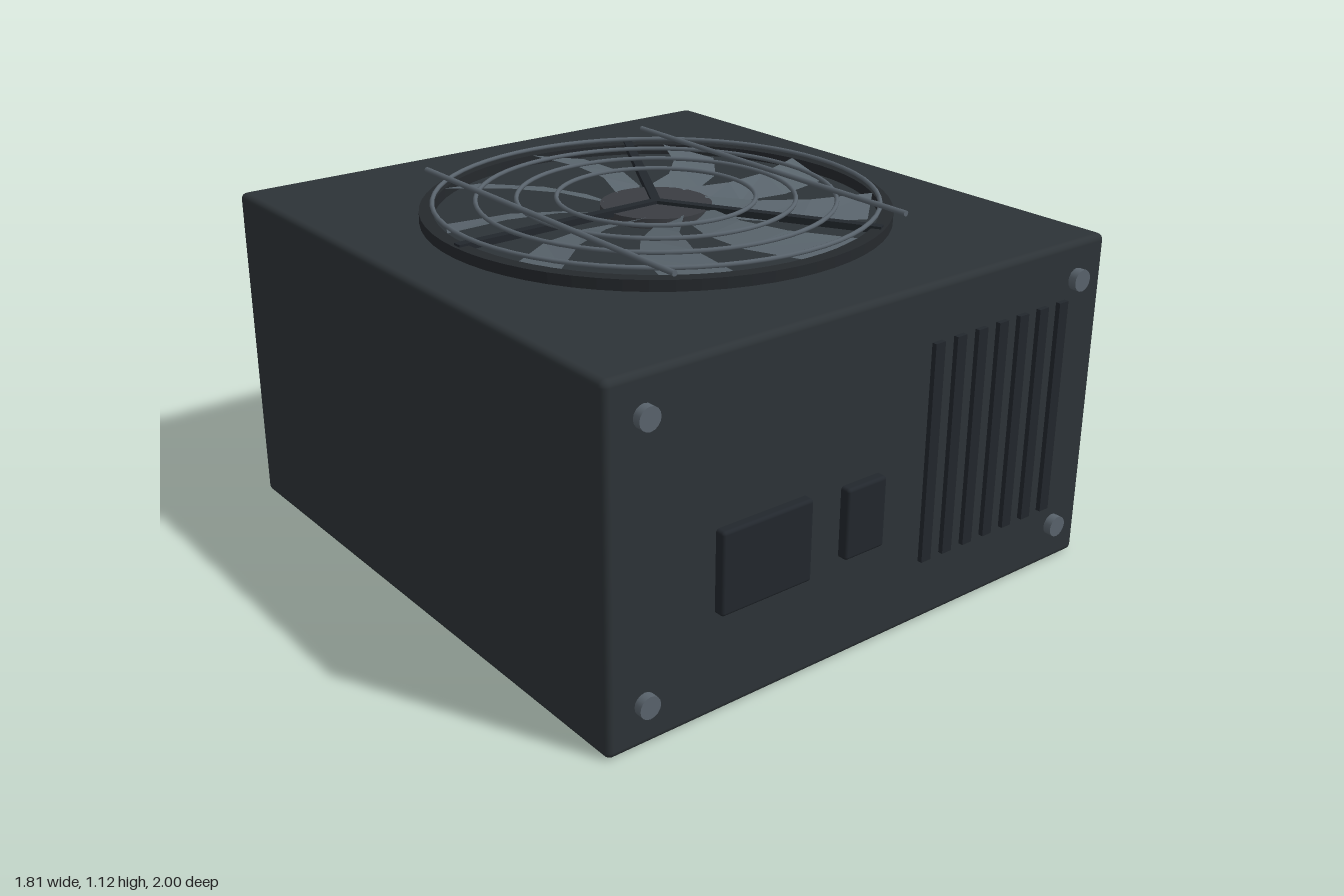
import * as THREE from 'three';
import { RoundedBoxGeometry } from 'three/addons/geometries/RoundedBoxGeometry.js';

const paint = (color, side = THREE.FrontSide) => new THREE.MeshStandardMaterial({ color, side });

export function createModel() {
  const model = new THREE.Group();
  const caseMat = paint(0x2d3337);
  const darkMat = paint(0x22272d);
  const rimMat = paint(0x25292d);
  const wireMat = paint(0x59636c);
  const bladeMat = paint(0x59646c, THREE.DoubleSide);
  bladeMat.flatShading = true;

  const add = (name, geometry, material, x = 0, y = 0, z = 0, parent = model) => {
    const mesh = new THREE.Mesh(geometry, material);
    mesh.name = name;
    mesh.position.set(x, y, z);
    parent.add(mesh);
    return mesh;
  };
  const rounded = (w, h, d, r) => new RoundedBoxGeometry(w, h, d, 3, r);

  // Case
  add('case', rounded(1.81, 1.04, 1.935, 0.02), caseMat, 0, 0.52, -0.0025);

  // Front panel: power inlet, switch, vent slats and screws
  add('powerInlet', rounded(0.31, 0.245, 0.06, 0.01), darkMat, -0.405, 0.428, 0.965);
  add('powerSwitch', rounded(0.145, 0.215, 0.06, 0.01), darkMat, -0.053, 0.428, 0.965);
  for (let i = 0; i < 7; i++) {
    add('ventSlat', new THREE.BoxGeometry(0.037, 0.67, 0.03), darkMat, 0.213 + i * 0.0855, 0.535, 0.965);
  }
  for (const x of [-0.787, 0.787]) {
    for (const y of [0.127, 0.925]) {
      const geometry = new THREE.CylinderGeometry(0.033, 0.033, 0.04, 16).rotateX(Math.PI / 2);
      add('screw', geometry, wireMat, x, y, 0.97);
    }
  }

  // Rear sockets
  for (const x of [-0.485, 0, 0.485]) {
    add('rearSocket', rounded(0.335, 0.205, 0.07, 0.012), darkMat, x, 0.525, -0.965);
  }

  // Fan on the top face
  const fan = new THREE.Group();
  fan.name = 'fan';
  model.add(fan);

  const rim = new THREE.Shape().absarc(0, 0, 0.71, 0, Math.PI * 2);
  rim.holes.push(new THREE.Path().absarc(0, 0, 0.67, 0, Math.PI * 2, true));
  const rimGeometry = new THREE.ExtrudeGeometry(rim, { depth: 0.04, bevelEnabled: false, curveSegments: 32 });
  add('fanRim', rimGeometry.rotateX(-Math.PI / 2), rimMat, 0, 1.033, 0, fan);
  add('fanHub', new THREE.CylinderGeometry(0.17, 0.17, 0.04, 24), paint(0x3a3d42), 0, 1.05, 0, fan);

  // Swept blades: radius and angle (degrees) of the raised and lowered edges
  const sections = [
    [0.16, -13, 0.16, 20],
    [0.31, 5.5, 0.28, 27],
    [0.47, 5, 0.44, 24],
    [0.67, 0, 0.635, 15.6],
  ];
  const points = [];
  const faces = [];
  sections.forEach(([r1, a1, r2, a2], i) => {
    const [t1, t2] = [a1, a2].map(THREE.MathUtils.degToRad);
    points.push(r1 * Math.sin(t1), 1.073, -r1 * Math.cos(t1));
    points.push(r2 * Math.sin(t2), 1.044, -r2 * Math.cos(t2));
    const k = i * 2;
    if (i) faces.push(k - 2, k, k - 1, k - 1, k, k + 1);
  });
  const bladeGeometry = new THREE.BufferGeometry();
  bladeGeometry.setAttribute('position', new THREE.Float32BufferAttribute(points, 3));
  bladeGeometry.setIndex(faces);
  bladeGeometry.computeVertexNormals();
  for (let i = 0; i < 9; i++) {
    add('fanBlade', bladeGeometry, bladeMat, 0, 0, 0, fan).rotation.y = i * Math.PI * 2 / 9;
  }

  // Support struts
  for (let i = 0; i < 3; i++) {
    const geometry = new THREE.BoxGeometry(0.7, 0.02, 0.028).translate(-0.35, 0, 0);
    add('fanStrut', geometry, darkMat, 0, 1.07, 0, fan).rotation.y = i * Math.PI * 2 / 3;
  }

  // Wire guard: concentric rings and two straight bars
  for (const r of [0.3, 0.42, 0.542, 0.67]) {
    const geometry = new THREE.TorusGeometry(r, 0.007, 8, 64).rotateX(Math.PI / 2);
    add('guardRing', geometry, wireMat, 0, 1.093, 0, fan);
  }
  for (const x of [-0.425, 0.425]) {
    const geometry = new THREE.CylinderGeometry(0.009, 0.009, 1.25, 8).rotateX(Math.PI / 2);
    add('guardBar', geometry, wireMat, x, 1.107, 0, fan);
  }

  return model;
}
